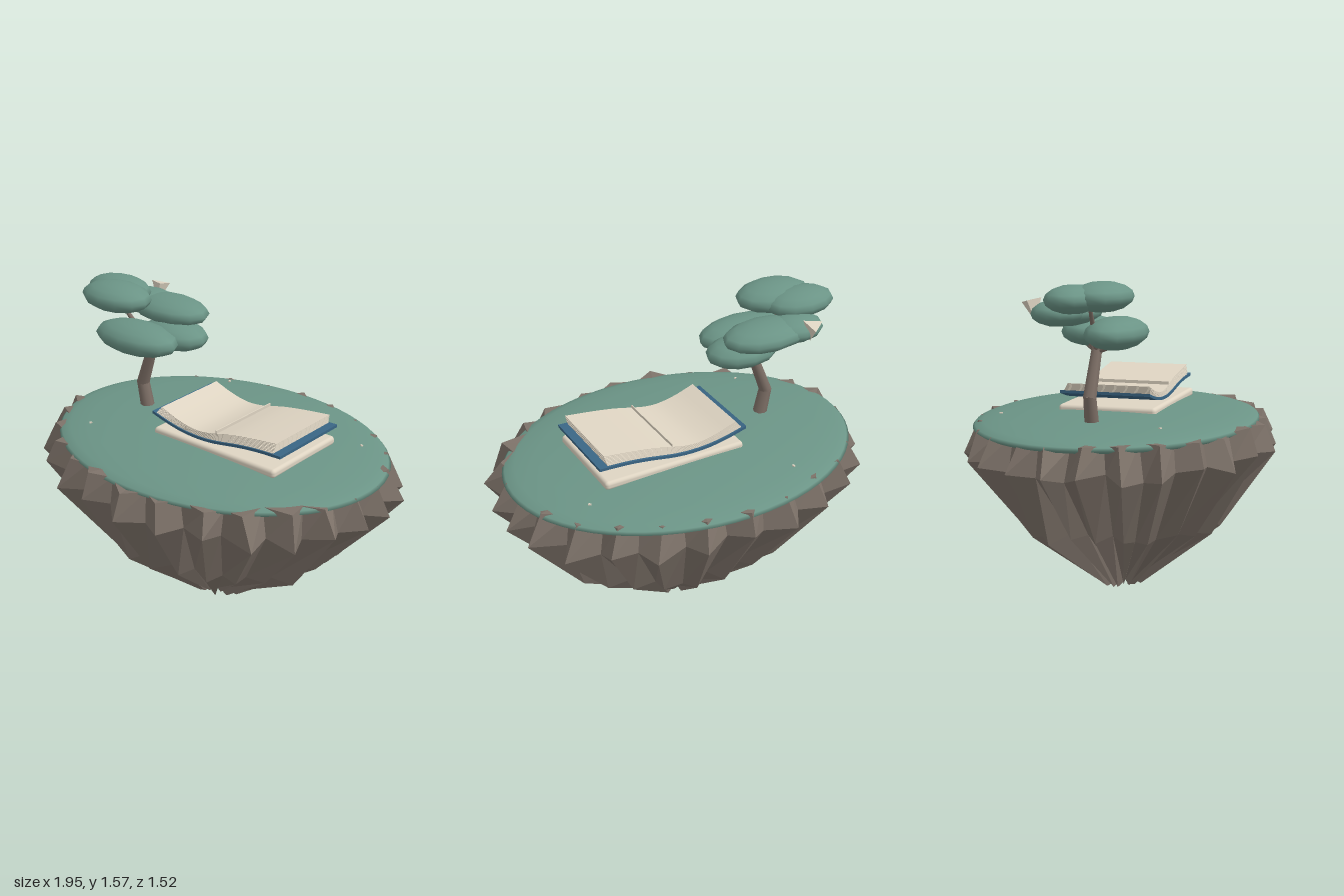
import * as THREE from 'three';
import { toCreasedNormals } from 'three/addons/utils/BufferGeometryUtils.js';
import { RoundedBoxGeometry } from 'three/addons/geometries/RoundedBoxGeometry.js';

const material = (name, color, extra = {}) => {
  const m = new THREE.MeshStandardMaterial({ color, ...extra });
  m.name = name;
  return m;
};

function seeded(seed) {
  return () => {
    seed = (seed * 16807) % 2147483647;
    return seed / 2147483647;
  };
}

export function createModel() {
  const model = new THREE.Group();
  model.name = 'floatingIsland';
  const rockMat = material('stone', 0x7d7269, { flatShading: true });
  const barkMat = material('bark', 0x7d6f66);
  const greenMat = material('sage green', 0x6b9486);
  const creamMat = material('cream', 0xded4c2);
  const blueMat = material('cover blue', 0x3a6685);

  const add = (name, geometry, mat, parent = model) => {
    const mesh = new THREE.Mesh(geometry, mat);
    mesh.name = name;
    parent.add(mesh);
    return mesh;
  };

  // Rock: star-shaped rings of ridges and valleys, tapering to a blunt tip
  const rnd = seeded(71);
  const sides = 52;
  const levels = [
    { y: 0.018, ridge: 0.14, valley: 0.06, jitter: 0.018, dy: 0.016 },
    { y: 0.36, ridge: 0.66, valley: 0.55, jitter: 0.02, dy: 0.03 },
    { y: 0.73, ridge: 0.985, valley: 0.86, jitter: 0.015, dy: 0.03 },
    { y: 0.865, ridge: 0.91, valley: 0.83, jitter: 0.02, dy: 0.015 },
  ];
  const rings = levels.map((l) => Array.from({ length: sides }, (_, j) => {
    const a = ((j + 0.35 * (rnd() - 0.5)) / sides) * Math.PI * 2 + Math.PI / 2;
    const r = (j % 2 ? l.valley : l.ridge) + (rnd() * 2 - 1) * l.jitter;
    return [r * Math.cos(a), l.y + (rnd() * 2 - 1) * l.dy, r * 0.775 * Math.sin(a)];
  }));
  const faces = [];
  for (let j = 0; j < sides; j++) {
    const k = (j + 1) % sides;
    for (let i = 0; i < rings.length - 1; i++) {
      const [lo, up] = [rings[i], rings[i + 1]];
      faces.push(lo[k], lo[j], up[j], lo[k], up[j], up[k]);
    }
    const top = rings[rings.length - 1];
    faces.push(rings[0][j], rings[0][k], [0, 0.04, 0], top[k], top[j], [0, 0.86, 0]);
  }
  const rock = new THREE.BufferGeometry();
  rock.setAttribute('position', new THREE.Float32BufferAttribute(faces.flat(), 3));
  rock.computeVertexNormals();
  add('rock', rock, rockMat);

  // Domed grass cap
  const dome = [[0, 0.83], [0.85, 0.83], [0.97, 0.838], [1, 0.852], [0.985, 0.866],
    [0.93, 0.88], [0.8, 0.897], [0.55, 0.914], [0.3, 0.922], [0, 0.925]];
  const grass = add('grass', new THREE.LatheGeometry(
    dome.map(([r, y]) => new THREE.Vector2(r, y)), 64), greenMat);
  grass.scale.set(0.905, 1, 0.695);
  grass.position.z = -0.025;

  // Tiny petals lying on the grass
  [[-0.35, 0.909, -0.52], [0.64, 0.906, -0.33], [-0.55, 0.912, 0.34]].forEach((p) => {
    const petal = add('petal', new THREE.BoxGeometry(0.014, 0.006, 0.01), creamMat);
    petal.position.set(...p);
    petal.rotation.y = p[0] * 4;
  });

  // Slab beneath the book
  const slab = add('slab', new RoundedBoxGeometry(0.75, 0.045, 0.495, 3, 0.018), creamMat);
  slab.position.set(0.15, 0.922, -0.022);

  // Book: curved sheets extruded from a lower and an upper wave
  const book = new THREE.Group();
  book.name = 'book';
  model.add(book);
  const wave = (pts) => {
    const samples = new THREE.SplineCurve(pts.map((p) => new THREE.Vector2(...p))).getPoints(120);
    return (x) => {
      const i = Math.max(1, samples.findIndex((s) => s.x >= x));
      const [a, b] = [samples[i - 1], samples[i]];
      return a.y + ((b.y - a.y) * (x - a.x)) / (b.x - a.x);
    };
  };
  const coverY = wave([[-0.26, 1.008], [-0.15, 0.978], [-0.05, 0.96], [0.05, 0.955],
    [0.15, 0.962], [0.3, 0.987], [0.42, 1.0], [0.56, 1.006]]);
  const pageY = wave([[-0.26, 1.065], [-0.2, 1.047], [-0.1, 1.012], [0, 0.992], [0.08, 0.995],
    [0.15, 1.01], [0.25, 1.033], [0.38, 1.053], [0.56, 1.074]]);
  const sheet = (name, fn, x0, x1, z0, z1, thick, mat) => {
    const n = 24;
    const row = Array.from({ length: n + 1 }, (_, i) => x0 + ((x1 - x0) * i) / n);
    const outline = row.map((x) => new THREE.Vector2(x, fn(x)))
      .concat(row.reverse().map((x) => new THREE.Vector2(x, fn(x) + thick)));
    const geo = new THREE.ExtrudeGeometry(new THREE.Shape(outline),
      { depth: z1 - z0, bevelEnabled: false });
    geo.translate(0, 0, z0);
    add(name, toCreasedNormals(geo, 0.6), mat, book);
  };
  sheet('cover', coverY, -0.248, 0.545, -0.25, 0.205, 0.014, blueMat);
  const pageCount = 8;
  for (let i = 0; i < pageCount; i++) {
    const t = i / (pageCount - 1);
    const fn = (x) => THREE.MathUtils.lerp(coverY(x) + 0.015, pageY(x) - 0.003, t);
    sheet('page', fn, -0.225 + 0.025 * t, 0.5 + 0.012 * t, -0.24 + 0.01 * t, 0.2 - 0.01 * t,
      0.003, creamMat);
  }
  const gutter = add('gutter', new THREE.BoxGeometry(0.006, 0.05, 0.42), creamMat, book);
  gutter.position.set(0.15, 1.0, -0.02);

  // Tree
  const tree = new THREE.Group();
  tree.name = 'tree';
  model.add(tree);
  const limb = (name, from, to, r0, r1) => {
    const a = new THREE.Vector3(...from);
    const d = new THREE.Vector3(...to).sub(a);
    const mesh = add(name, new THREE.CylinderGeometry(r1, r0, d.length(), 8), barkMat, tree);
    mesh.position.copy(a).addScaledVector(d, 0.5);
    mesh.quaternion.setFromUnitVectors(new THREE.Vector3(0, 1, 0), d.normalize());
  };
  limb('lowerTrunk', [-0.48, 0.9, -0.01], [-0.51, 1.04, -0.01], 0.036, 0.032);
  limb('upperTrunk', [-0.512, 1.025, -0.01], [-0.425, 1.26, 0], 0.033, 0.026);
  const fork = [-0.43, 1.24, 0];
  [[-0.34, 1.265, 0.02], [-0.46, 1.27, 0.1], [-0.36, 1.27, -0.08], [-0.45, 1.4, -0.12],
    [-0.62, 1.46, 0.03]].forEach((end) => limb('branch', fork, end, 0.016, 0.009));

  // Flattened foliage pads: centre and radii
  [[-0.59, 1.505, 0.08, 0.2, 0.07, 0.14], [-0.675, 1.497, -0.03, 0.185, 0.066, 0.125],
    [-0.44, 1.327, 0.1, 0.25, 0.077, 0.14], [-0.33, 1.325, -0.06, 0.19, 0.07, 0.135],
    [-0.42, 1.42, -0.13, 0.23, 0.066, 0.14], [-0.575, 1.425, -0.14, 0.15, 0.062, 0.12],
  ].forEach(([x, y, z, rx, ry, rz]) => {
    const pad = add('foliage', new THREE.SphereGeometry(1, 12, 8), greenMat, tree);
    pad.position.set(x, y, z);
    pad.scale.set(rx, ry, rz);
  });

  // Small pointed paper shape tucked in the back of the canopy
  const fold = new THREE.ConeGeometry(0.055, 0.1, 3).toNonIndexed();
  fold.computeVertexNormals();
  const paper = add('foldedPaper', fold, creamMat, tree);
  paper.position.set(-0.605, 1.435, -0.25);
  paper.rotation.set(Math.PI - 0.25, 0.4, 0);

  return model;
}
